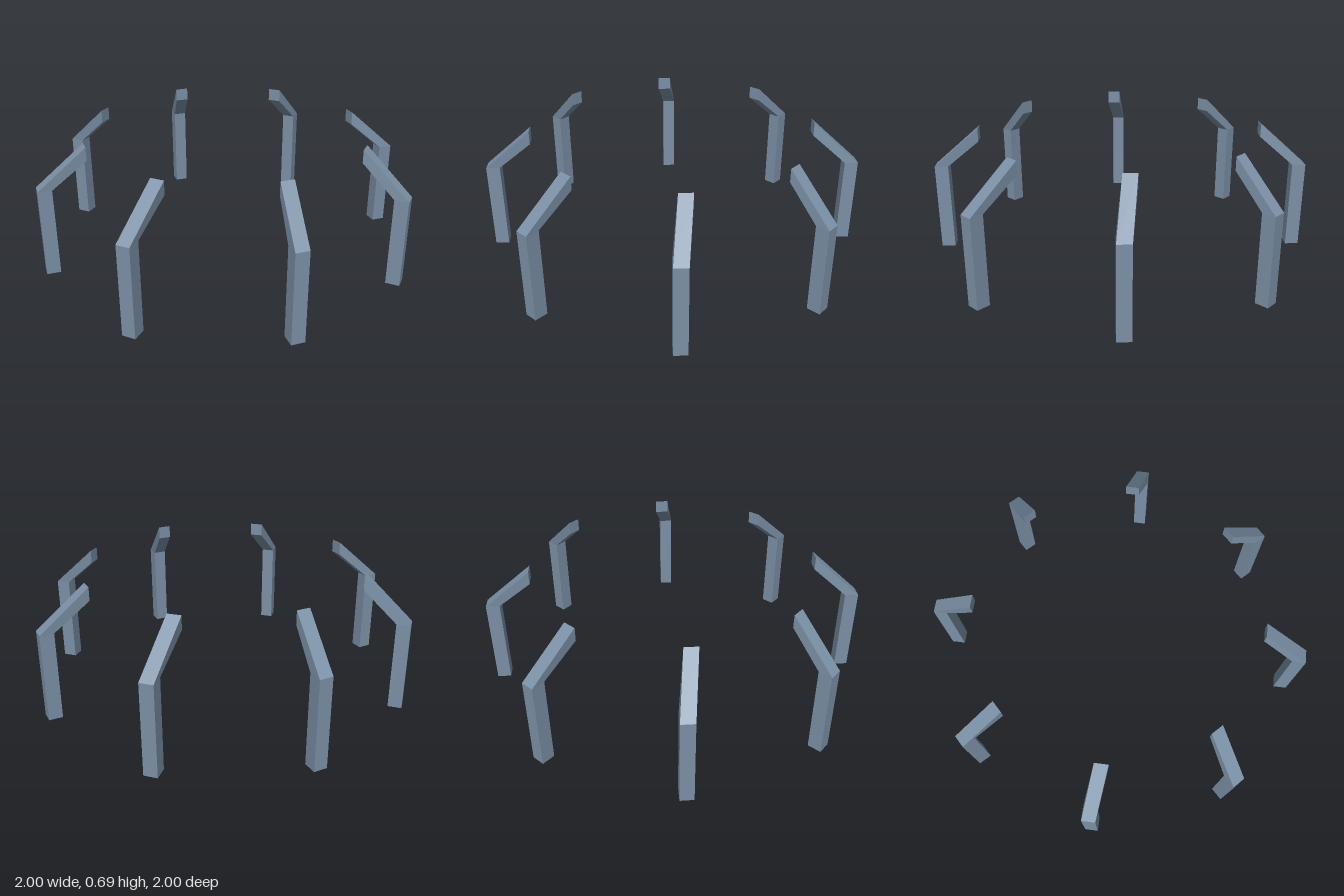
import * as THREE from 'three';

const COUNT = 8;        // posts around the circle
const SHIFT = 0.0175;   // sideways twist of post and arm
const HALF = 0.035;     // half the bar width

// Ring of four corners: outer/top edge first, then inner/bottom edge.
function ring(cx, [yA, zA], [yB, zB]) {
  return [[cx - HALF, yA, zA], [cx + HALF, yA, zA], [cx + HALF, yB, zB], [cx - HALF, yB, zB]]
    .map((p) => new THREE.Vector3(...p));
}

// Skin the rings into one closed, hard-edged bar with one normal per face.
function loft(rings) {
  const pos = [], normals = [];
  const quad = (a, b, c, d) => {
    const n = c.clone().sub(a).cross(d.clone().sub(b)).normalize();
    for (const p of [a, b, c, a, c, d]) {
      pos.push(p.x, p.y, p.z);
      normals.push(n.x, n.y, n.z);
    }
  };
  for (let i = 0; i < rings.length - 1; i++) {
    const lo = rings[i], hi = rings[i + 1];
    for (let j = 0; j < 4; j++) {
      const k = (j + 1) % 4;
      quad(lo[j], lo[k], hi[k], hi[j]);
    }
  }
  const first = rings[0], last = rings[rings.length - 1];
  quad(first[3], first[2], first[1], first[0]);
  quad(...last);
  const geo = new THREE.BufferGeometry();
  geo.setAttribute('position', new THREE.Float32BufferAttribute(pos, 3));
  geo.setAttribute('normal', new THREE.Float32BufferAttribute(normals, 3));
  return geo;
}

export function createModel() {
  const group = new THREE.Group();
  group.name = 'postCircle';
  const material = new THREE.MeshStandardMaterial({ color: 0x7a8fa5 });

  // Upright post with an arm that bends inward and slightly sideways
  const bentPost = loft([
    ring(-SHIFT, [0, 1], [0, 0.928]),
    ring(-SHIFT, [0.47, 1], [0.47, 0.928]),
    ring(SHIFT, [0.69, 0.75], [0.62, 0.75]),
  ]);

  // Posts spaced evenly around the centre
  for (let i = 0; i < COUNT; i++) {
    const post = new THREE.Mesh(bentPost, material);
    post.name = `bentPost${i + 1}`;
    post.rotation.y = (i / COUNT) * Math.PI * 2;
    group.add(post);
  }
  return group;
}
